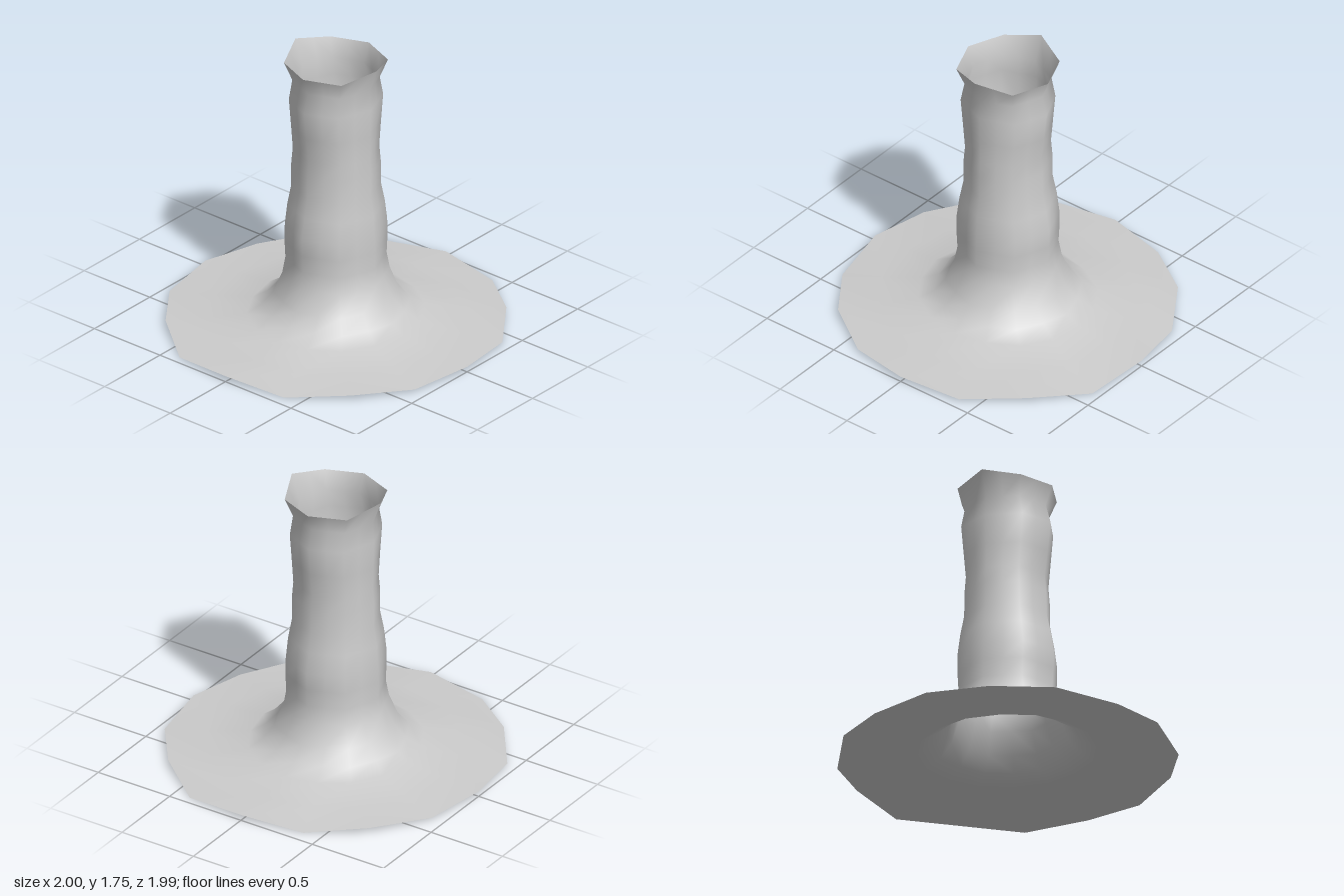
import * as THREE from 'three';

const SIDES = 16;

// Cross-sections from the flange rim to the mouth: [height, radius along x, radius along z, roundness]
// roundness 0 keeps the section eight-sided, 1 makes it sixteen-sided
const SECTIONS = [
  [0.033, 1.00, 0.995, 1],
  [0.04, 0.76, 0.76, 1],
  [0.068, 0.51, 0.54, 0.8],
  [0.12, 0.435, 0.44, 0.5],
  [0.20, 0.367, 0.367, 0.3],
  [0.33, 0.31, 0.32, 0],
  [0.43, 0.295, 0.298, 0],
  [0.54, 0.298, 0.306, 0],
  [0.65, 0.293, 0.308, 0],
  [0.78, 0.286, 0.285, 0],
  [0.90, 0.265, 0.26, 0],
  [1.05, 0.267, 0.256, 0],
  [1.15, 0.258, 0.248, 0],
  [1.30, 0.26, 0.267, 0],
  [1.48, 0.267, 0.287, 0],
  [1.60, 0.257, 0.255, 0],
  [1.713, 0.31, 0.298, 0],
];

// Uneven rim radius at the in-between corners of the flange
const RIM = [1.0, 1.01, 1.03, 1.02, 1.0, 1.0, 1.03, 1.02];

function flaredTube() {
  const positions = [];
  const index = [];
  const chord = Math.cos(Math.PI / 8);
  const last = SECTIONS.length - 1;

  SECTIONS.forEach(([height, rx, rz, round], row) => {
    for (let k = 0; k < SIDES; k++) {
      const angle = (k / SIDES) * Math.PI * 2;
      const c = Math.cos(angle);
      const s = Math.sin(angle);
      let scale = 1;
      let y = height;
      if (k % 2) {
        scale = THREE.MathUtils.lerp(chord, 1, round);
        // wavy flange: in-between corners droop
        if (row === 0) {
          scale = RIM[(k - 1) / 2];
          y -= Math.abs(s) > 0.7 ? 0.033 : 0.018;
        } else if (row === 1) {
          y -= 0.008;
        }
      }
      // mouth peaks on the left and right
      if (row === last) {
        if (k % 8 === 0) y += 0.042;
        else if (k % 8 === 1 || k % 8 === 7) y += 0.021;
      }
      positions.push(rx * scale * c, y, rz * scale * s);
    }
  });

  for (let row = 0; row < last; row++) {
    for (let k = 0; k < SIDES; k++) {
      const next = (k + 1) % SIDES;
      const a = row * SIDES + k;
      const b = row * SIDES + next;
      const c = a + SIDES;
      const d = b + SIDES;
      index.push(a, c, b, b, c, d);
    }
  }

  const geometry = new THREE.BufferGeometry();
  geometry.setAttribute('position', new THREE.Float32BufferAttribute(positions, 3));
  geometry.setIndex(index);
  geometry.computeVertexNormals();
  return geometry;
}

export function createModel() {
  const group = new THREE.Group();
  group.name = 'flaredPipe';
  // Open, hollow shell: wide flange, curved neck, column and flared mouth
  const material = new THREE.MeshStandardMaterial({ color: 0xcccccc, side: THREE.DoubleSide });
  const shell = new THREE.Mesh(flaredTube(), material);
  shell.name = 'flangedColumn';
  group.add(shell);
  return group;
}
